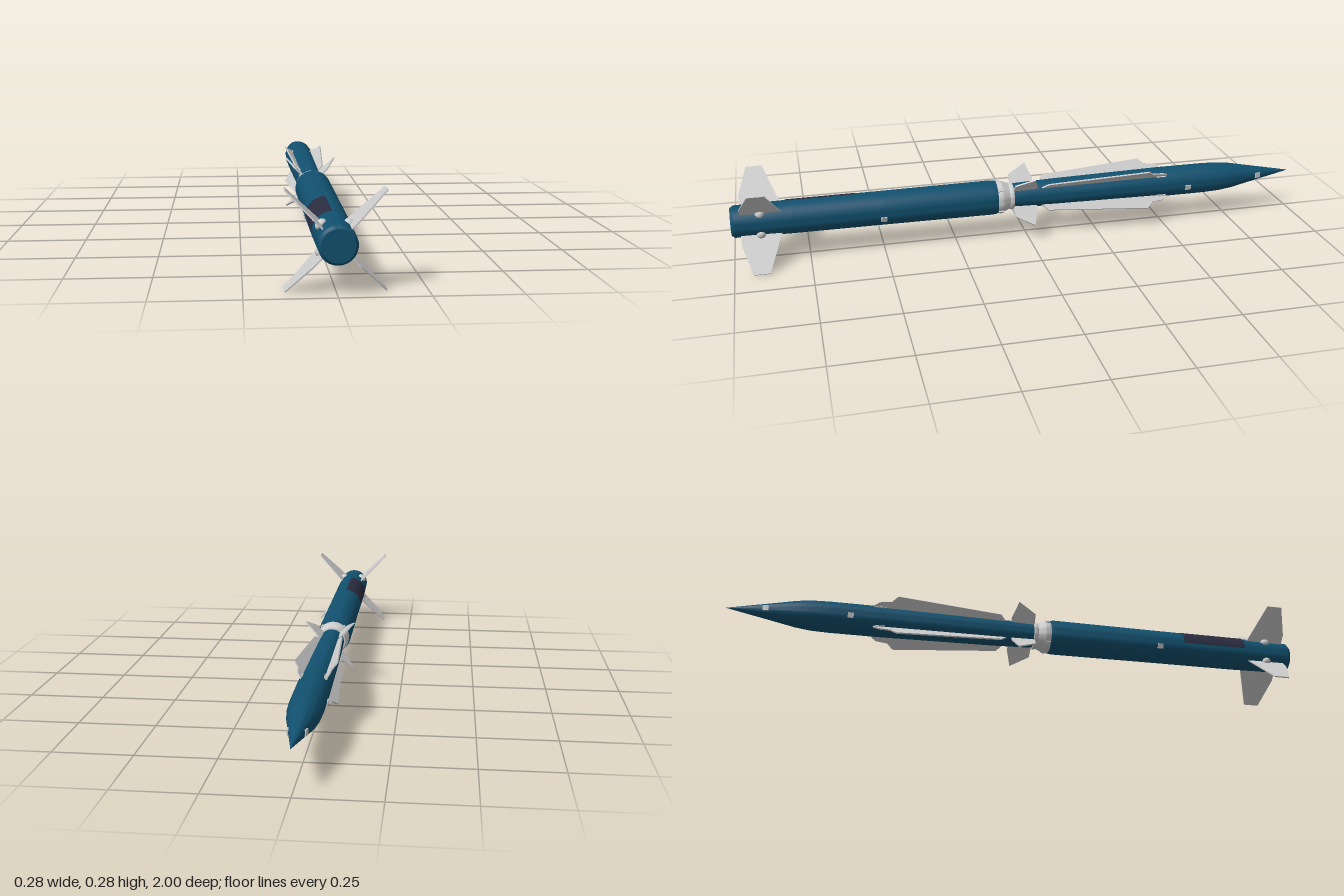
import * as THREE from 'three';
import { toCreasedNormals } from 'three/addons/utils/BufferGeometryUtils.js';

const AXIS_Y = 0.14;
const material = (color) => new THREE.MeshStandardMaterial({ color });
const blue = material(0x11506e);
const grey = material(0xcccccc);
const dark = material(0x2a2c40);

export function createModel() {
  const model = new THREE.Group();
  model.name = 'twoStageMissile';
  const body = new THREE.Group();
  body.name = 'airframe';
  body.position.y = AXIS_Y;
  model.add(body);

  const add = (parent, name, geometry, mat) => {
    const mesh = new THREE.Mesh(geometry, mat);
    mesh.name = name;
    parent.add(mesh);
    return mesh;
  };

  // Turned part along z: profile of [z, radius], listed from tail to nose
  const turned = (name, profile, mat) => {
    const points = profile.map(([z, r]) => new THREE.Vector2(r, -z));
    const geometry = new THREE.LatheGeometry(points, 40).rotateX(-Math.PI / 2);
    add(body, name, toCreasedNormals(geometry, 0.4), mat);
  };

  // Flat fin standing up from the axis: outline of [z, radius]
  const finGeometry = (outline, thickness) => {
    const shape = new THREE.Shape(outline.map(([z, r]) => new THREE.Vector2(z, r)));
    return new THREE.ExtrudeGeometry(shape, { depth: thickness, bevelEnabled: false })
      .translate(0, 0, -thickness / 2)
      .rotateY(-Math.PI / 2);
  };

  // Booster, with chamfered ends
  turned('booster', [
    [1, 0], [1, 0.046], [0.99, 0.054], [0.8, 0.057], [0.5, 0.058],
    [0.12, 0.06], [0.104, 0.058], [0.104, 0],
  ], blue);

  // Flared collar between the stages
  turned('interstageCollar', [
    [0.106, 0.054], [0.1, 0.056], [0.085, 0.056], [0.06, 0.045],
    [0.055, 0.048], [0.046, 0.048], [0.044, 0.04],
  ], grey);

  // Upper stage with pointed nose
  turned('upperStage', [
    [0.06, 0], [0.06, 0.042], [0, 0.044], [-0.1, 0.047], [-0.3, 0.05], [-0.5, 0.053],
    [-0.66, 0.053], [-0.72, 0.051], [-0.77, 0.045], [-0.82, 0.035],
    [-0.9, 0.0195], [-1, 0],
  ], blue);

  // Raised seam circle on the tail face
  const seam = add(body, 'tailRing', new THREE.TorusGeometry(0.044, 0.001, 6, 40), blue);
  seam.position.z = 0.9985;

  // Four sets of fins on the diagonals
  const boosterFin = finGeometry(
    [[0.97, 0.05], [0.835, 0.05], [0.885, 0.194], [0.938, 0.194], [0.97, 0.09]], 0.004);
  const controlFin = finGeometry(
    [[0.048, 0.036], [-0.035, 0.036], [-0.036, 0.06], [-0.018, 0.12], [0.028, 0.092], [0.046, 0.08]], 0.005);
  const strake = finGeometry(
    [[-0.05, 0.04], [-0.52, 0.04], [-0.51, 0.06], [-0.495, 0.071], [-0.455, 0.076],
      [-0.435, 0.097], [-0.075, 0.068]], 0.005);
  const knob = new THREE.SphereGeometry(1, 20, 12).scale(0.018, 0.013, 0.016);
  const cleat = new THREE.BoxGeometry(0.012, 0.012, 0.035);
  const lug = new THREE.BoxGeometry(0.012, 0.008, 0.016);

  for (let i = 0; i < 4; i++) {
    const quarter = new THREE.Group();
    quarter.name = 'finSet' + (i + 1);
    quarter.rotation.z = Math.PI / 4 + (i * Math.PI) / 2;
    body.add(quarter);
    add(quarter, 'boosterFin', boosterFin, grey);
    add(quarter, 'controlFin', controlFin, grey);
    add(quarter, 'strake', strake, grey);
    add(quarter, 'boosterFinHub', knob, grey).position.set(0, 0.056, 0.905);
    add(quarter, 'strakeCleat', cleat, grey).position.set(0, 0.05, -0.49);
    add(quarter, 'collarLug', lug, grey).position.set(0, 0.056, 0.093);
  }

  // Dark curved panel on one upper quarter of the booster
  const panel = new THREE.CylinderGeometry(0.0583, 0.0587, 0.23, 16, 1, true, Math.PI / 2, Math.PI / 2);
  panel.rotateX(Math.PI / 2);
  const panelMaterial = dark.clone();
  panelMaterial.side = THREE.DoubleSide;
  add(body, 'darkPanel', panel, panelMaterial).position.z = 0.705;
  // keep the panel in the upper left quarter
  body.getObjectByName('darkPanel').rotation.z = Math.PI / 2;

  // Small square sensor plates on both flanks: [z, height, radius, slope]
  const plates = [[0.5, -0.02, 0.058, 0], [-0.59, -0.01, 0.053, 0], [-0.87, 0, 0.0255, 0.19]];
  for (const side of [-1, 1]) {
    for (const [z, y, r, slope] of plates) {
      const plate = add(body, 'sensorPlate', new THREE.BoxGeometry(0.006, 0.018, 0.02), grey);
      plate.position.set(side * Math.sqrt(r * r - y * y), y, z);
      plate.rotation.set(0, side * slope, side * Math.asin(y / r));
    }
  }
  return model;
}
